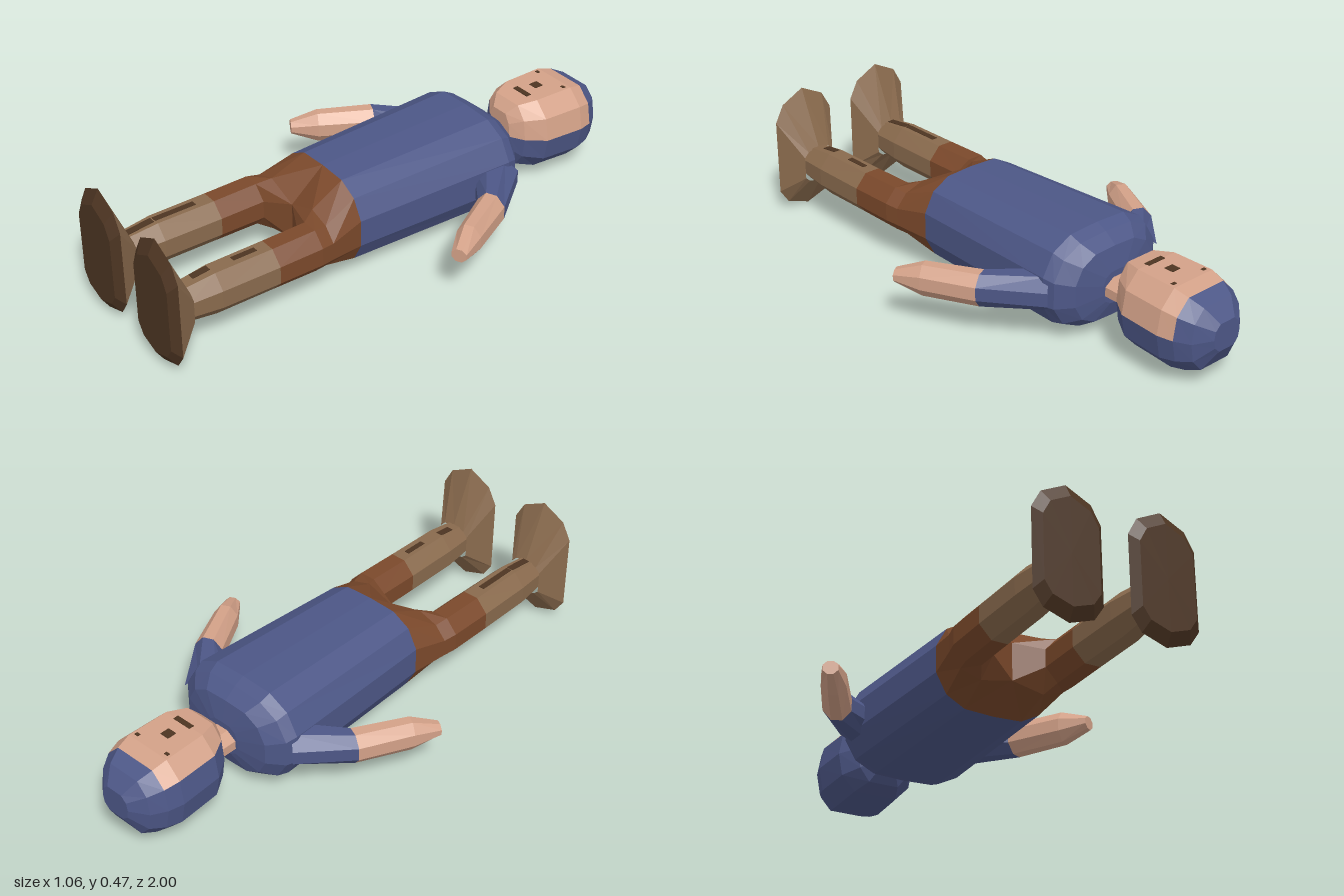
import * as THREE from 'three';

const mat = (name, color) => Object.assign(new THREE.MeshStandardMaterial({ color, flatShading: true }), { name });

// Cross-section profiles in unit coordinates, (across, up)
const OCTAGON = [[-1, .4], [-.4, 1], [.4, 1], [1, .4], [1, -.4], [.4, -1], [-.4, -1], [-1, -.4]];
const HALF_BODY = [[0, 1], [.5, .97], [.82, .74], [1, .3], [1, -.3], [.82, -.74], [.5, -.97], [0, -1]];
const BODY = [...HALF_BODY, ...HALF_BODY.slice(1, -1).reverse().map(([x, y]) => [-x, y])];
const HEAD = [[-.55, 1], [.55, 1], [.9, .6], [1, 0], [.9, -.6], [.55, -1], [-.55, -1], [-.9, -.6], [-1, 0], [-.9, .6]];
const SHOE = [[0, 1], [.72, .81], [1, .54], [1, -.65], [.72, -.87], [0, -1], [-.72, -.87], [-1, -.65], [-1, .54], [-.72, .81]];

// One ring of points: the across axis may be turned in the ground plane
function ring(profile, cx, cy, cz, rx, ry, ux = 1, uz = 0) {
  return profile.map(([a, b]) => new THREE.Vector3(cx + a * rx * ux, cy + b * ry, cz + a * rx * uz));
}
const mirror = (rings, side) => rings.map(r => r.map(p => new THREE.Vector3(p.x * side, p.y, p.z)));

// Faceted skin through rings; pick(row, column) chooses the material slot
function loft(name, rings, material, capStart = false, capEnd = false, pick = () => 0) {
  const n = rings[0].length, slots = [[], []];
  const mid = r => r.reduce((s, p) => s.add(p), new THREE.Vector3()).divideScalar(n);
  for (let i = 0; i < rings.length - 1; i++) {
    for (let j = 0; j < n; j++) {
      const k = (j + 1) % n, [a, b, c, d] = [rings[i][j], rings[i][k], rings[i + 1][k], rings[i + 1][j]];
      slots[pick(i, j)].push([a, b, c], [a, c, d]);
    }
  }
  const cap = (r, row, flip) => {
    const m = mid(r);
    for (let j = 0; j < n; j++) {
      const k = (j + 1) % n;
      slots[pick(row, j)].push(flip ? [m, r[k], r[j]] : [m, r[j], r[k]]);
    }
  };
  if (capStart) cap(rings[0], 0, true);
  if (capEnd) cap(rings[rings.length - 1], rings.length - 2, false);

  // Turn all faces outward
  const centre = mid(rings.map(mid).concat()).multiplyScalar(n / rings.length);
  let volume = 0;
  for (const [a, b, c] of slots.flat()) {
    const p = a.clone().sub(centre), q = b.clone().sub(centre), r = c.clone().sub(centre);
    volume += p.dot(q.cross(r));
  }
  const pts = [], g = new THREE.BufferGeometry();
  slots.forEach((tris, s) => {
    if (tris.length) g.addGroup(pts.length, tris.length * 3, s);
    for (const [a, b, c] of tris) pts.push(...(volume < 0 ? [a, c, b] : [a, b, c]));
  });
  g.setFromPoints(pts);
  g.computeVertexNormals();
  const mesh = new THREE.Mesh(g, material);
  mesh.name = name;
  return mesh;
}

export function createModel() {
  const blue = mat('blue cloth', 0x4d5787);
  const skin = mat('skin', 0xd3a188);
  const brown = mat('brown trousers', 0x7b492b);
  const tan = mat('tan boots', 0x896a4d);
  const dark = mat('dark brown', 0x4d3522);
  const model = new THREE.Group();
  model.name = 'lyingFigure';

  const plate = (name, x, y, z, w, d, tilt = 0) => {
    const m = new THREE.Mesh(new THREE.BoxGeometry(w, .006, d), dark);
    m.name = name;
    m.position.set(x, y, z);
    m.rotation.x = tilt;
    model.add(m);
  };

  // Shirt, from hem to collar
  model.add(loft('shirt', [
    [.21, .218, .195, .165], [-.42, .247, .2, .175], [-.46, .235, .195, .16],
    [-.505, .18, .19, .13], [-.525, .07, .18, .06],
  ].map(([z, rx, y, ry]) => ring(BODY, 0, y, z, rx, ry)), blue, true, true));

  // Neck
  model.add(loft('neck', [-.51, -.6].map(z => ring(OCTAGON, 0, .175, z, .062, .042)), skin));

  // Head: face panels are skin, the hood around them blue
  const headRings = [
    [-.585, .06, .205, .085], [-.62, .108, .2, .125], [-.69, .155, .195, .14], [-.85, .162, .19, .144],
    [-.905, .147, .187, .132], [-.955, .115, .183, .112], [-1, .06, .195, .05],
  ].map(([z, rx, y, ry]) => ring(HEAD, 0, y, z, rx, ry));
  const facePanels = [0, 1, 2, 9];
  model.add(loft('head', headRings, [blue, skin], true, true,
    (row, col) => (row < 4 && facePanels.includes(col) ? 1 : 0)));

  // Face details
  for (const s of [-1, 1]) plate('eye', s * .07, .333, -.83, .016, .012);
  plate('nose', 0, .334, -.76, .035, .035);
  plate('mouth', .005, .334, -.688, .075, .02);

  for (const side of [-1, 1]) {
    const tag = side > 0 ? 'left' : 'right';
    const add = (name, rings, m, a, b) => model.add(loft(tag + name, mirror(rings, side), m, a, b));

    // Sleeve and bare forearm; the left arm hangs a little lower
    const dz = side > 0 ? .025 : 0;
    const elbow = ring(OCTAGON, .358, .187, -.27 + dz, .051, .06, .92, -.4);
    add('Sleeve', [ring(OCTAGON, .2, .187, -.4, .08, .062, .73, -.68), elbow], blue);
    add('Forearm', [
      elbow,
      ring(OCTAGON, .455, .187, -.09 + dz, .044, .058, .88, -.47),
      ring(OCTAGON, .507, .187, -.005 + dz, .027, .024, .88, -.47),
    ], skin, false, true);

    // Trouser half: the hip narrows to the crotch, then becomes a leg
    const hip = ring(HALF_BODY, 0, .195, .21, .218, .165);
    const crotch = ring(HALF_BODY, 0, .19, .34, .24, .108);
    crotch[0].y = .25;
    crotch[7].y = .11;
    const knee = ring(OCTAGON, .175, .195, .56, .075, .08);
    add('TrouserLeg', [hip, crotch, ring(OCTAGON, .175, .195, .39, .075, .082), knee], brown);

    // Boot shaft
    add('BootShaft', [knee, ring(OCTAGON, .175, .195, .78, .072, .08),
      ring(OCTAGON, .175, .195, .9, .06, .066)], tan);

    // Flared foot and bevelled sole
    const rim = ring(SHOE, .175, .2375, .972, .125, .2375);
    add('Foot', [ring(SHOE, .175, .195, .885, .064, .07), rim], tan);
    add('Sole', [rim, ring(SHOE, .175, .232, 1, .1, .19)], dark, false, true);
  }

  // Boot lacing
  plate('rightLaces', -.175, .274, .7, .022, .16);
  plate('rightLowerLaces', -.175, .268, .835, .026, .1, .115);
  plate('leftLaces', .172, .274, .65, .02, .09);
  plate('leftLowerLaces', .165, .27, .815, .026, .065, .115);

  return model;
}
